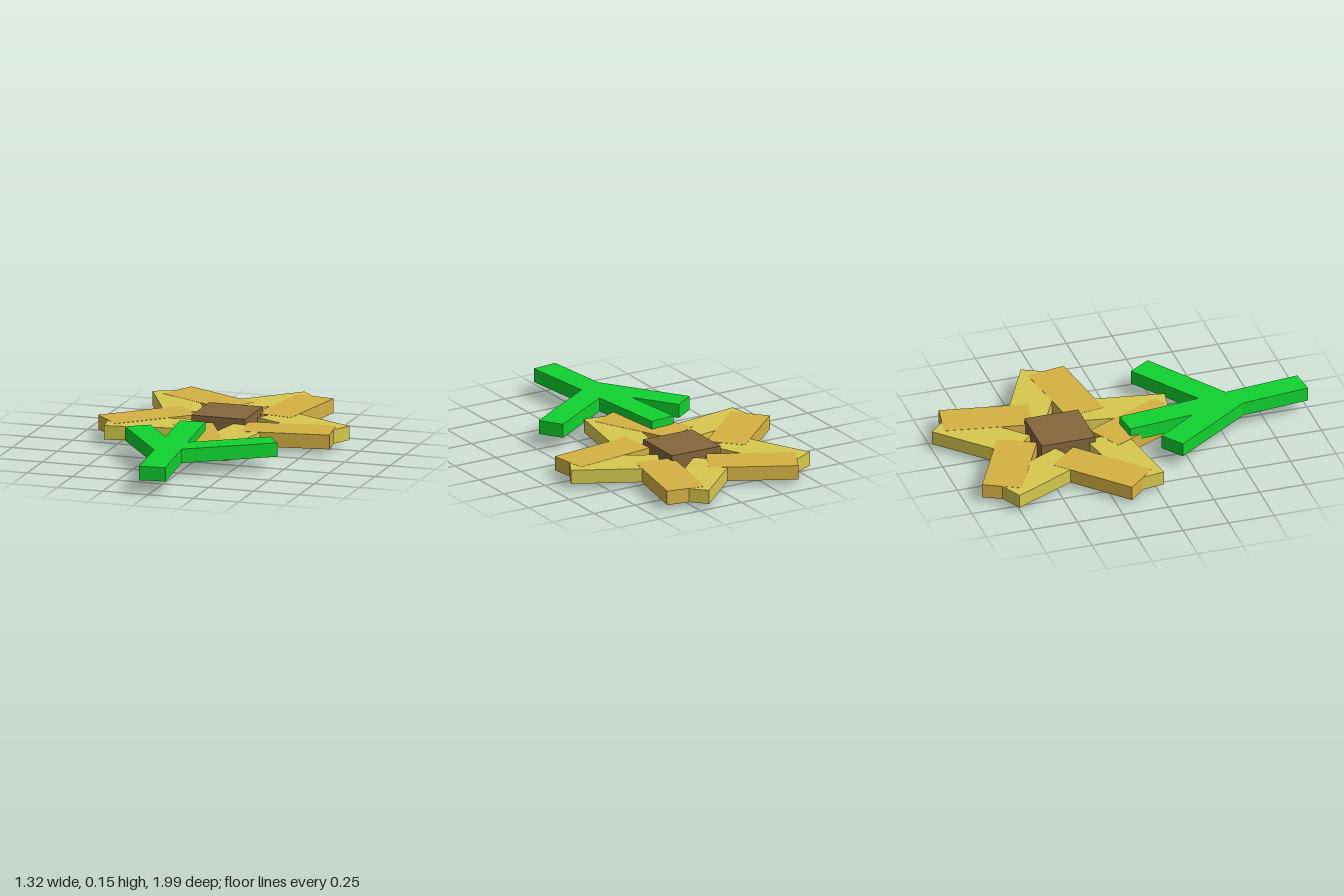
import * as THREE from 'three';

const material = (color) => new THREE.MeshStandardMaterial({ color, flatShading: true });

export function createModel() {
  const group = new THREE.Group();
  const yellow = material(0xd6c84e);
  const orange = material(0xd6b243);
  const brown = material(0x83663b);
  const green = material(0x10d22f);

  // A flat bar lying in the ground plane; degrees turn its length from +x towards +z
  function bar(name, mat, x, z, degrees, length, width, y0, y1) {
    const mesh = new THREE.Mesh(new THREE.BoxGeometry(length, y1 - y0, width), mat);
    mesh.position.set(x, (y0 + y1) / 2, z);
    mesh.rotation.y = -THREE.MathUtils.degToRad(degrees);
    mesh.name = name;
    group.add(mesh);
  }

  // Five petals, each a yellow and an orange slab: [x, z, degrees]
  const petals = [
    { yellow: [0.1, -0.757, -44], orange: [0.246, -0.683, 100] },
    { yellow: [0.4, -0.373, 27], orange: [0.373, -0.206, -8.4] },
    { yellow: [0.13, 0.032, -80.3], orange: [-0.034, 0.053, 63.4] },
    { yellow: [-0.349, -0.108, -9.7], orange: [-0.421, -0.257, -43.2] },
    { yellow: [-0.362, -0.595, 63.4], orange: [-0.238, -0.709, 27.3] },
  ];
  petals.forEach((petal, i) => {
    bar(`petalYellow${i + 1}`, yellow, ...petal.yellow, 0.471, 0.212, 0.027, 0.102);
    // a hair taller, so the overlapping faces stay clean
    bar(`petalOrange${i + 1}`, orange, ...petal.orange, 0.471, 0.212, 0.026, 0.103);
  });

  // Square flower centre
  bar('flowerCentre', brown, -0.017, -0.362, 0, 0.296, 0.296, 0, 0.131);

  // Stem with two leaves
  bar('stem', green, -0.04, 0.476, 83.5, 1.02, 0.14, 0.072, 0.147);
  bar('rightLeaf', green, -0.189, 0.365, 54.9, 0.52, 0.14, 0.072, 0.147);
  bar('leftLeaf', green, 0.218, 0.364, -33.9, 0.52, 0.14, 0.072, 0.147);

  return group;
}
